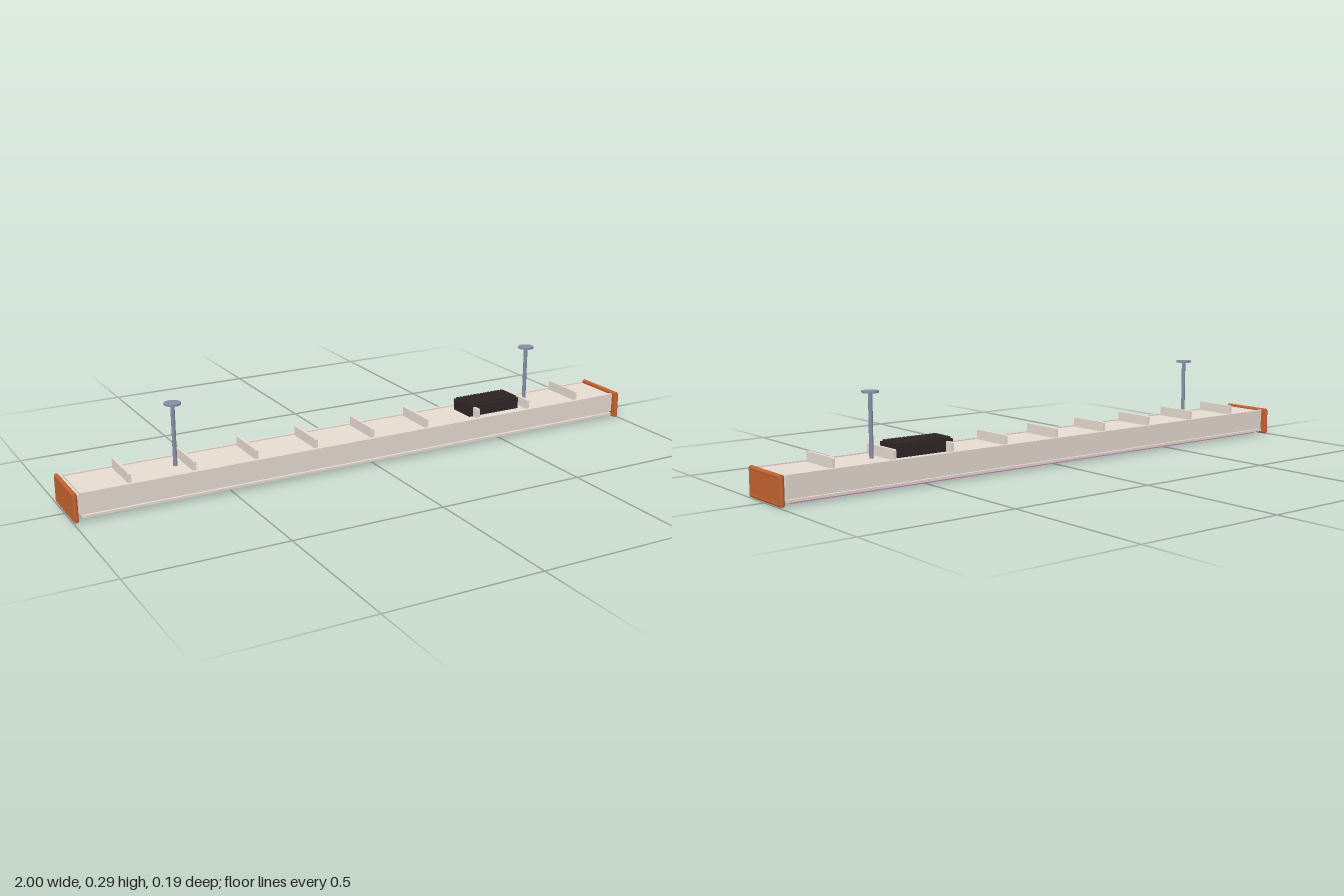
import * as THREE from 'three';

const mat = (name, color) => {
  const m = new THREE.MeshStandardMaterial({ color });
  m.name = name;
  return m;
};

export function createModel() {
  const model = new THREE.Group();
  model.name = 'linearLight';
  const shell = mat('warm grey', 0xe6dcd1);
  const copper = mat('copper', 0xc4632f);
  const black = mat('charcoal', 0x2f2526);
  const steel = mat('blue steel', 0x868ea8);
  const plum = mat('pale plum', 0xc884b4);

  const add = (name, geometry, material, x, y, z) => {
    const mesh = new THREE.Mesh(geometry, material);
    mesh.name = name;
    mesh.position.set(x, y, z);
    model.add(mesh);
    return mesh;
  };
  // box given by its lower and upper bounds
  const box = (name, material, [x0, x1], [y0, y1], [z0, z1]) =>
    add(name, new THREE.BoxGeometry(x1 - x0, y1 - y0, z1 - z0), material,
      (x0 + x1) / 2, (y0 + y1) / 2, (z0 + z1) / 2);

  // long housing, recessed between lips along its top and bottom edges
  box('housing', shell, [-0.973, 0.973], [0.015, 0.086], [-0.081, 0.081]);
  for (const s of [-1, 1]) {
    const side = (a, b) => (s > 0 ? [a, b] : [-b, -a]);
    box('topLip', shell, [-0.973, 0.973], [0.078, 0.09], side(0.078, 0.089));
    box('bottomLip', shell, [-0.973, 0.973], [0.011, 0.019], side(0.078, 0.089));
  }

  // light panel underneath
  box('lightPanel', plum, [-0.955, 0.955], [0.003, 0.015], [-0.07, 0.07]);

  // cross ribs on top, with clipped upper corners
  const ribShape = new THREE.Shape([
    [-0.074, -0.006], [0.074, -0.006], [0.074, 0.025], [0.071, 0.028], [-0.071, 0.028], [-0.074, 0.025],
  ].map(([x, y]) => new THREE.Vector2(x, y)));
  const ribGeometry = new THREE.ExtrudeGeometry(ribShape, { depth: 0.01, bevelEnabled: false });
  ribGeometry.translate(0, 0, -0.005).rotateY(Math.PI / 2);
  for (let i = -4; i <= 4; i++) add('rib', ribGeometry, shell, i * 0.205, 0.09, 0);

  // end caps: a plate framed by round edge strips
  for (const s of [-1, 1]) {
    const x = s * 0.992;
    add('endCap', new THREE.BoxGeometry(0.013, 0.083, 0.184), copper, x, 0.047, 0);
    add('capMount', new THREE.BoxGeometry(0.02, 0.06, 0.15), shell, s * 0.978, 0.05, 0);
    for (const t of [-1, 1]) {
      add('capUprightEdge', new THREE.CylinderGeometry(0.0075, 0.0075, 0.082, 10), copper, x, 0.047, t * 0.09);
      const edge = add('capLevelEdge', new THREE.CylinderGeometry(0.0075, 0.0075, 0.184, 10), copper,
        x, 0.0467 + t * 0.0392, 0);
      edge.rotation.x = Math.PI / 2;
    }
  }

  // driver box with cooling fins across its top
  box('driverBody', black, [0.39, 0.59], [0.086, 0.124], [-0.048, 0.048]);
  for (let i = 0; i < 14; i++) {
    add('driverFin', new THREE.BoxGeometry(0.009, 0.008, 0.084), black, 0.399 + i * 0.014, 0.126, 0);
  }

  // hanging rods with ceiling discs
  for (const x of [-0.65, 0.65]) {
    add('rod', new THREE.CylinderGeometry(0.0065, 0.0065, 0.199, 12), steel, x, 0.185, 0);
    add('ceilingDisc', new THREE.CylinderGeometry(0.026, 0.026, 0.006, 14), steel, x, 0.285, 0);
  }
  return model;
}
